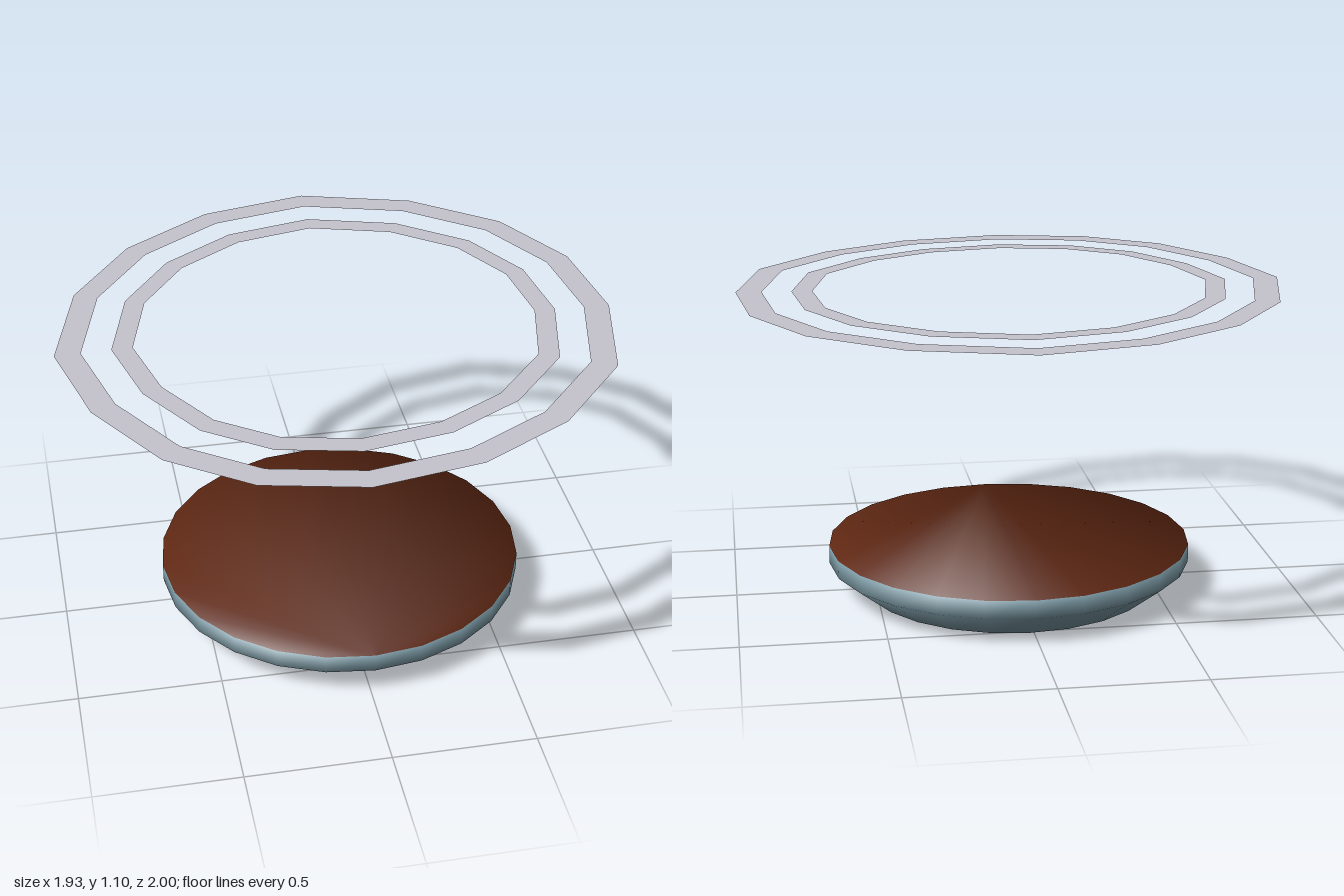
import * as THREE from 'three';

const SIDES = 24;

const material = (name, color, side = THREE.FrontSide) => {
  const m = new THREE.MeshStandardMaterial({ color, side });
  m.name = name;
  return m;
};

// Rims of the dish from bottom to top: radius, height, softened normal (outward, up)
const RIMS = [
  { r: 0.525, y: 0, n: [0.33, -0.944] },
  { r: 0.652, y: 0.1, n: [0.9, -0.43] },
  { r: 0.652, y: 0.165, n: [0.707, 0.707] },
];

// Vertices of the given rims, with smooth normals, joined by an index
function rimGeometry(rims, index) {
  const pos = [], nor = [];
  for (const { r, y, n } of rims) {
    for (let i = 0; i < SIDES; i++) {
      const a = (i / SIDES) * Math.PI * 2, s = Math.sin(a), c = Math.cos(a);
      pos.push(r * s, y, r * c);
      nor.push(n[0] * s, n[1], n[0] * c);
    }
  }
  const g = new THREE.BufferGeometry();
  g.setAttribute('position', new THREE.Float32BufferAttribute(pos, 3));
  g.setAttribute('normal', new THREE.Float32BufferAttribute(nor, 3));
  g.setIndex(index);
  return g;
}

function wallGeometry(rims) {
  const index = [];
  for (let k = 0; k < rims.length - 1; k++) {
    for (let i = 0; i < SIDES; i++) {
      const j = (i + 1) % SIDES, lo = k * SIDES, hi = lo + SIDES;
      index.push(lo + i, lo + j, hi + j, lo + i, hi + j, hi + i);
    }
  }
  return rimGeometry(rims, index);
}

function capGeometry(rim, up) {
  const index = [];
  for (let i = 1; i < SIDES - 1; i++) index.push(0, up ? i : i + 1, up ? i + 1 : i);
  return rimGeometry([rim], index);
}

// Uneven sixteen-sided outline of the rings: x, z
const OUTLINE = [
  [0.06, -1], [0.457, -0.88], [0.753, -0.645], [0.923, -0.327],
  [0.963, 0.05], [0.87, 0.45], [0.61, 0.75], [0.295, 0.93],
  [-0.077, 0.997], [-0.42, 0.92], [-0.685, 0.727], [-0.876, 0.41],
  [-0.966, 0.035], [-0.865, -0.375], [-0.643, -0.695], [-0.325, -0.915],
];

// Flat ring between two scaled copies of the outline
function ringGeometry(outer, inner) {
  const points = (s) => OUTLINE.map(([x, z]) => new THREE.Vector2(x * s, -z * s));
  const shape = new THREE.Shape(points(outer));
  shape.holes.push(new THREE.Path(points(inner)));
  return new THREE.ShapeGeometry(shape).rotateX(-Math.PI / 2);
}

export function createModel() {
  const model = new THREE.Group();
  const add = (name, geometry, mat, parent) => {
    const mesh = new THREE.Mesh(geometry, mat);
    mesh.name = name;
    parent.add(mesh);
    return mesh;
  };

  // Shallow dish
  const dish = new THREE.Group();
  dish.name = 'dish';
  dish.position.set(0.012, 0, 0.012);
  add('dishWall', wallGeometry(RIMS), material('slate blue', 0x7a98a3), dish);
  add('dishFilling', capGeometry(RIMS[2], true), material('dark brown', 0x602813), dish);
  add('dishBase', capGeometry(RIMS[0], false), material('blue', 0x0768bd), dish);
  model.add(dish);

  // Two thin rings floating above the dish
  const ringGrey = material('pale grey', 0xc6c4ce, THREE.DoubleSide);
  for (const [name, outer, inner] of [['outerRing', 1, 0.907], ['innerRing', 0.8, 0.725]]) {
    add(name, ringGeometry(outer, inner), ringGrey, model).position.y = 1.097;
  }
  return model;
}
